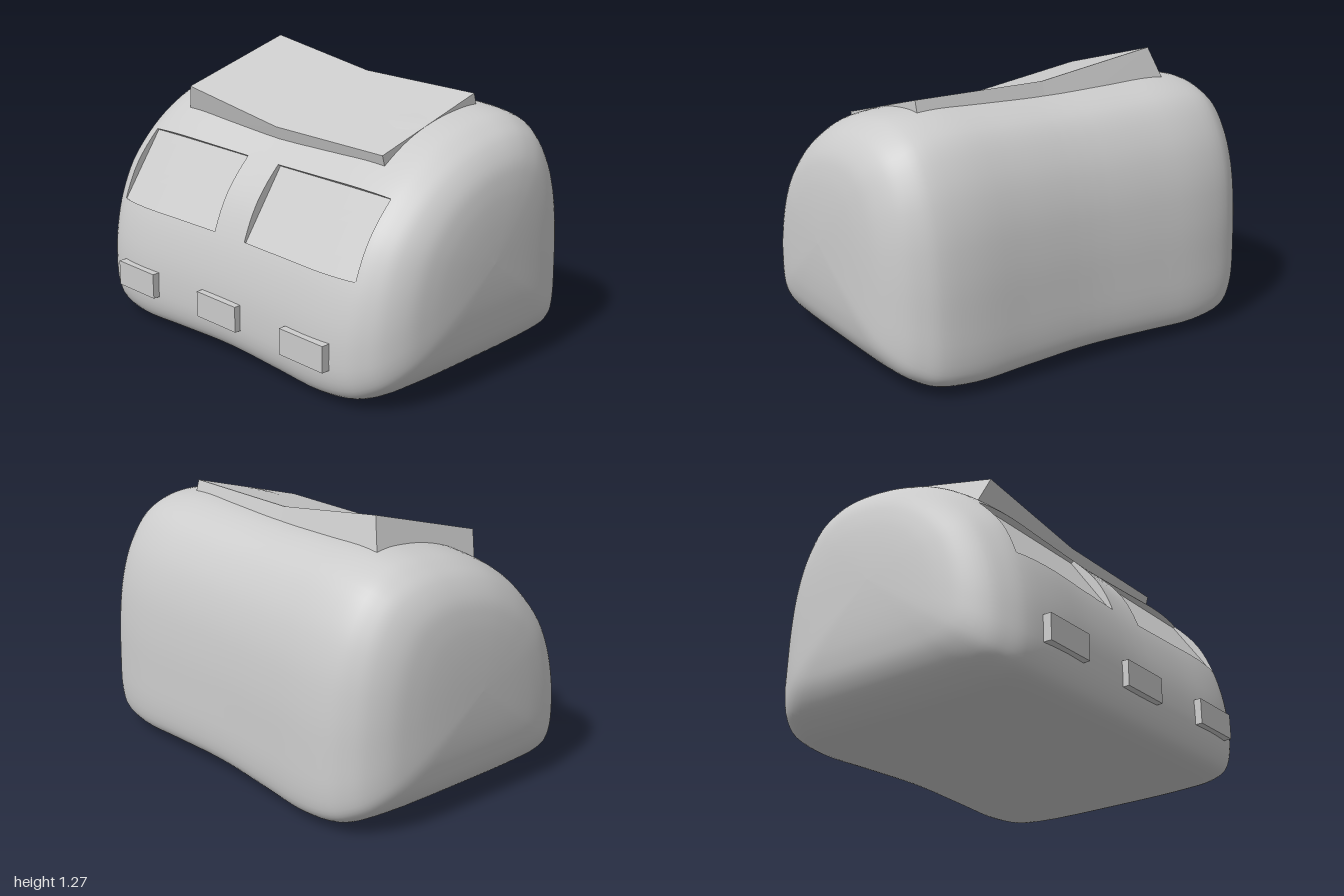
import * as THREE from 'three';

const material = new THREE.MeshStandardMaterial({ color: 0xcccccc });
const flatMaterial = new THREE.MeshStandardMaterial({ color: 0xcccccc, flatShading: true, side: THREE.DoubleSide });

// Body side outline [z, y], running up the front, over the top and down the back
const PROFILE = [
  [0.4, 0.003], [0.55, 0.015], [0.63, 0.05], [0.663, 0.12], [0.67, 0.25], [0.655, 0.4],
  [0.61, 0.572], [0.53, 0.74], [0.4, 0.89], [0.29, 0.98], [0.15, 1.06], [0, 1.11],
  [-0.15, 1.135], [-0.27, 1.14], [-0.38, 1.122], [-0.5, 1.06], [-0.6, 0.92], [-0.66, 0.75],
  [-0.69, 0.55], [-0.7, 0.35], [-0.7, 0.15], [-0.68, 0.07], [-0.63, 0.03], [-0.5, 0.01], [0, 0],
];
// Scale of the outline at each x: slightly waisted in the middle, rounded at the ends
const SPREAD = [
  [0, 0.975], [0.1, 0.977], [0.35, 0.99], [0.6, 1], [0.77, 0.965], [0.85, 0.9],
  [0.9, 0.83], [0.95, 0.7], [0.975, 0.55], [0.989, 0.38], [0.997, 0.18], [1, 0],
];
const CENTRE = { z: -0.02, y: 0.55 };
const SUB = 4;
const WINDOW = { row0: 6 * SUB, row1: 8 * SUB, col0: 1 * SUB, col1: 4 * SUB };
const FLOOR = { y: 0.566, z: 0.825, d: 0.805 }; // plane of the recess floors

function spline(points, closed) {
  const curve = new THREE.CatmullRomCurve3(points.map(([a, b]) => new THREE.Vector3(a, b, 0)), closed);
  const n = (closed ? points.length : points.length - 1) * SUB;
  const out = [];
  for (let i = 0; i < (closed ? n : n + 1); i++) out.push(curve.getPoint(i / n));
  return out;
}

function makeGeometry(positions, index) {
  const g = new THREE.BufferGeometry();
  g.setAttribute('position', new THREE.Float32BufferAttribute(positions, 3));
  g.setIndex(index);
  g.computeVertexNormals();
  return g;
}

function createBody() {
  const group = new THREE.Group();
  group.name = 'body';
  const outline = spline(PROFILE, true);
  const half = spline(SPREAD, false);
  const stations = [...half.slice(1).reverse().map((p) => [-p.x, p.y]), ...half.map((p) => [p.x, p.y])];
  const rows = outline.length, mid = half.length - 1;

  const positions = [];
  for (const [x, s] of stations) {
    for (const p of outline) {
      positions.push(x, CENTRE.y + (p.y - CENTRE.y) * s, CENTRE.z + (p.x - CENTRE.z) * s);
    }
  }

  // Every shell cell goes either to the skin or to a window opening
  const all = [], skin = [], openings = [];
  for (let i = 0; i < stations.length - 1; i++) {
    const col = i >= mid ? i - mid : mid - 1 - i;
    for (let j = 0; j < rows; j++) {
      const k = (j + 1) % rows;
      const a = i * rows + j, b = a + rows, c = (i + 1) * rows + k, d = i * rows + k;
      all.push(a, b, c, a, c, d);
      const open = col >= WINDOW.col0 && col < WINDOW.col1 && j >= WINDOW.row0 && j < WINDOW.row1;
      if (open) openings.push([a, b, c, d]);
      else skin.push(a, b, c, a, c, d);
    }
  }
  const shell = makeGeometry(positions, all); // normals from the whole skin stay smooth at the rims
  shell.setIndex(skin);
  const shellMesh = new THREE.Mesh(shell, material);
  shellMesh.name = 'shell';
  group.add(shellMesh);

  // Window recesses: flat floor plus walls from the rim down to it
  const at = (v) => positions.slice(v * 3, v * 3 + 3);
  const sunk = (v) => {
    const [x, y, z] = at(v);
    const h = y * FLOOR.y + z * FLOOR.z - FLOOR.d;
    return [x, y - h * FLOOR.y, z - h * FLOOR.z];
  };
  const edges = new Set();
  openings.forEach((q) => q.forEach((v, n) => edges.add(v + '_' + q[(n + 1) % 4])));
  const corners = [], index = [];
  const quad = (...pts) => {
    const o = corners.length / 3;
    pts.forEach((p) => corners.push(...p));
    index.push(o, o + 1, o + 2, o, o + 2, o + 3);
  };
  for (const q of openings) {
    quad(...q.map(sunk));
    q.forEach((v, n) => {
      const w = q[(n + 1) % 4];
      if (!edges.has(w + '_' + v)) quad(at(v), at(w), sunk(w), sunk(v));
    });
  }
  const recess = new THREE.Mesh(makeGeometry(corners, index), flatMaterial);
  recess.name = 'windowRecesses';
  group.add(recess);
  return group;
}

// Bent roof plate, sloping to the front, with its right half tipped up
function createRoofPlate() {
  const depth = 0.2;
  const sections = [
    { top: -0.6, bottom: -0.675, lift: 0.085 },
    { top: 0, bottom: 0, lift: 0 },
    { top: 0.65, bottom: 0.65, lift: 0 },
  ];
  const positions = [], index = [];
  for (const { top, bottom, lift } of sections) {
    const front = [1.02 + lift, 0.31], back = [1.187 + lift, -0.273];
    const drop = ([y, z]) => [y - 0.96 * depth, z - 0.28 * depth];
    positions.push(top, ...front, top, ...back, bottom, ...drop(back), bottom, ...drop(front));
  }
  for (let i = 0; i < 2; i++) {
    for (let j = 0; j < 4; j++) {
      const a = i * 4 + j, d = i * 4 + ((j + 1) % 4);
      index.push(a, a + 4, d + 4, a, d + 4, d);
    }
  }
  index.push(0, 1, 2, 0, 2, 3, 8, 10, 9, 8, 11, 10);
  const mesh = new THREE.Mesh(makeGeometry(positions, index), flatMaterial);
  mesh.name = 'roofPlate';
  return mesh;
}

export function createModel() {
  const model = new THREE.Group();
  model.name = 'model';
  model.add(createBody(), createRoofPlate());

  // Row of small blocks low on the front
  const blocks = [['rightBlock', -0.563, 0.7], ['middleBlock', 0, 0.685], ['leftBlock', 0.563, 0.7]];
  for (const [name, x, front] of blocks) {
    const block = new THREE.Mesh(new THREE.BoxGeometry(0.26, 0.12, 0.1), material);
    block.name = name;
    block.position.set(x, 0.24, front - 0.05);
    model.add(block);
  }
  return model;
}
